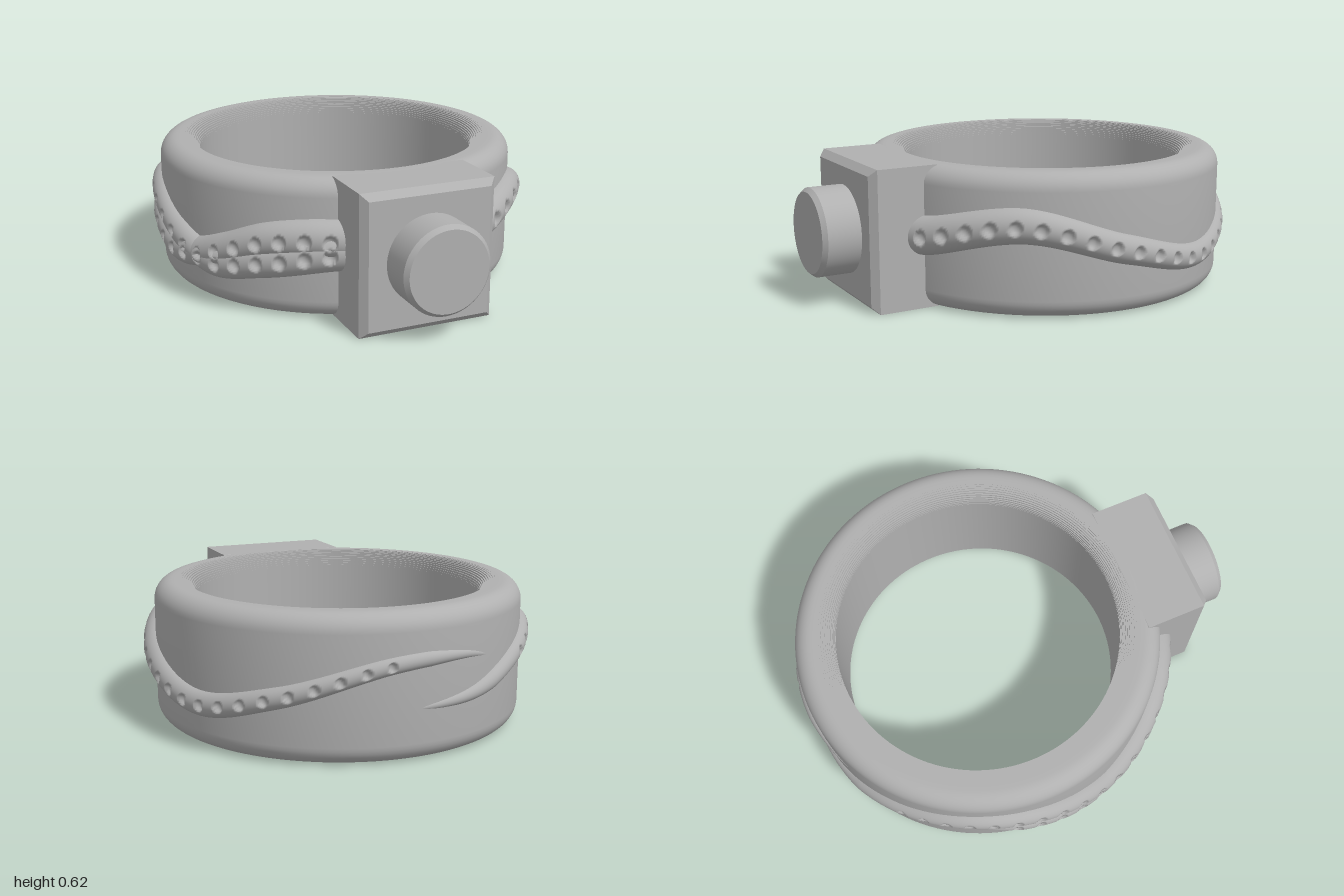
import * as THREE from 'three';
import { toCreasedNormals } from 'three/addons/utils/BufferGeometryUtils.js';

const HEIGHT = 0.62, CENTER_Z = -0.17, OUTER = 0.82, INNER = 0.637, FILLET = 0.08;
const DEG = Math.PI / 180;

// Closed band profile: smooth outer fillets, finely stepped inner fillets
function bandGeometry() {
  const half = [];
  const n = 8, steps = 12;
  for (let i = 0; i <= n; i++) {
    const t = (i / n) * Math.PI / 2;
    half.push([OUTER - FILLET * (1 - Math.cos(t)), HEIGHT - FILLET * (1 - Math.sin(t))]);
  }
  let lastY = HEIGHT;
  half.push([INNER + FILLET, HEIGHT]);
  for (let i = 1; i <= steps; i++) {
    const t = (i / steps) * Math.PI / 2;
    const r = INNER + FILLET * (1 - Math.sin(t));
    const y = HEIGHT - FILLET * (1 - Math.cos(t));
    half.push([r, lastY], [r, y]);
    lastY = y;
  }
  const bottom = half.map(([r, y]) => [r, HEIGHT - y]).reverse();
  const loop = [...bottom, ...half, bottom[0]].map(([r, y]) => new THREE.Vector2(r, y));
  return toCreasedNormals(new THREE.LatheGeometry(loop, 128), 0.5);
}

// Raised vine on the band: half-round section, tapering to the back, with a row of round pits.
// path: [angle from the front in degrees, height], angles ascending
function vineGeometry(path, lastPit) {
  const curve = new THREE.CatmullRomCurve3(path.map(([a, y]) => new THREE.Vector3(a / 100, y, 0)));
  const along = 520, across = 28, spacing = 7, firstPit = 24;
  const end = Math.max(...path.map(([a]) => Math.abs(a)));
  const positions = [], indices = [];
  for (let i = 0; i <= along; i++) {
    const p = curve.getPoint(i / along);
    const tan = curve.getTangent(i / along);
    const angle = p.x * 100, dist = Math.abs(angle);
    const slope = tan.y / (tan.x * 100 * DEG * OUTER);
    const fade = Math.min(1, 0.3 + 0.7 * (end - dist) / 32);
    const radius = (0.088 - 0.00033 * (dist - 20)) * fade;
    const k = Math.max(0, Math.round((dist - firstPit) / spacing));
    const pitAngle = firstPit + k * spacing;
    const pitRadius = pitAngle <= lastPit ? 0.03 - 0.00007 * (pitAngle - firstPit) : 0;
    const ds = (dist - pitAngle) * Math.sign(angle) * DEG * 0.86;
    for (let j = 0; j <= across; j++) {
      const a = (j / across - 0.5) * Math.PI;
      const dy = radius * Math.sin(a);
      const d2 = ds * ds + (dy + slope * ds) ** 2;
      const pit = Math.sqrt(Math.max(0, pitRadius * pitRadius - d2));
      const r = 0.805 + radius * Math.cos(a) - pit;
      positions.push(r * Math.sin(angle * DEG), p.y + dy, r * Math.cos(angle * DEG));
      if (i < along && j < across) {
        const q = i * (across + 1) + j, s = q + across + 1;
        indices.push(q, s, s + 1, q, s + 1, q + 1);
      }
    }
  }
  const g = new THREE.BufferGeometry();
  g.setAttribute('position', new THREE.Float32BufferAttribute(positions, 3));
  g.setIndex(indices);
  g.computeVertexNormals();
  return g;
}

export function createModel() {
  const metal = new THREE.MeshStandardMaterial({ color: 0xb0b0b0 });
  metal.name = 'grey metal';
  const model = new THREE.Group();
  model.name = 'ring';
  const add = (name, geometry, y = 0, z = 0) => {
    const mesh = new THREE.Mesh(geometry, metal);
    mesh.name = name;
    mesh.position.set(0, y, z);
    model.add(mesh);
    return mesh;
  };

  add('band', bandGeometry(), 0, CENTER_Z);

  // One vine on the left side, two crossing vines on the right
  add('leftVine', vineGeometry([[15, 0.31], [24, 0.325], [54, 0.4], [85, 0.285], [113, 0.2],
    [139, 0.275], [172, 0.41], [195, 0.42], [215, 0.36]], 174), 0, CENTER_Z);
  add('rightLongVine', vineGeometry([[-185, 0.22], [-161, 0.25], [-139, 0.34], [-115, 0.41],
    [-98, 0.38], [-78, 0.27], [-62, 0.205], [-44, 0.25], [-24, 0.305], [-15, 0.315]], 140), 0, CENTER_Z);
  add('rightShortVine', vineGeometry([[-132, 0.4], [-116, 0.36], [-100, 0.29], [-80, 0.2],
    [-68, 0.225], [-58, 0.27], [-44, 0.34], [-31, 0.365], [-15, 0.36]], 102), 0, CENTER_Z);

  // Square block with a chamfered front
  const w = 0.275, h = 0.28;
  const square = new THREE.Shape([[-w, -h], [w, -h], [w, h], [-w, h]].map(([x, y]) => new THREE.Vector2(x, y)));
  add('settingBlock', new THREE.ExtrudeGeometry(square, {
    depth: 0.27, bevelThickness: 0.03, bevelSize: 0.03, bevelSegments: 1,
  }), HEIGHT / 2, 0.53);

  // Round stud on the block
  const studProfile = [[0.195, 0], [0.195, 0.18], [0.178, 0.2], [0, 0.2]].map(([r, y]) => new THREE.Vector2(r, y));
  const stud = toCreasedNormals(new THREE.LatheGeometry(studProfile, 64), 0.5);
  stud.rotateX(Math.PI / 2);
  add('stud', stud, 0.315, 0.8);

  return model;
}
